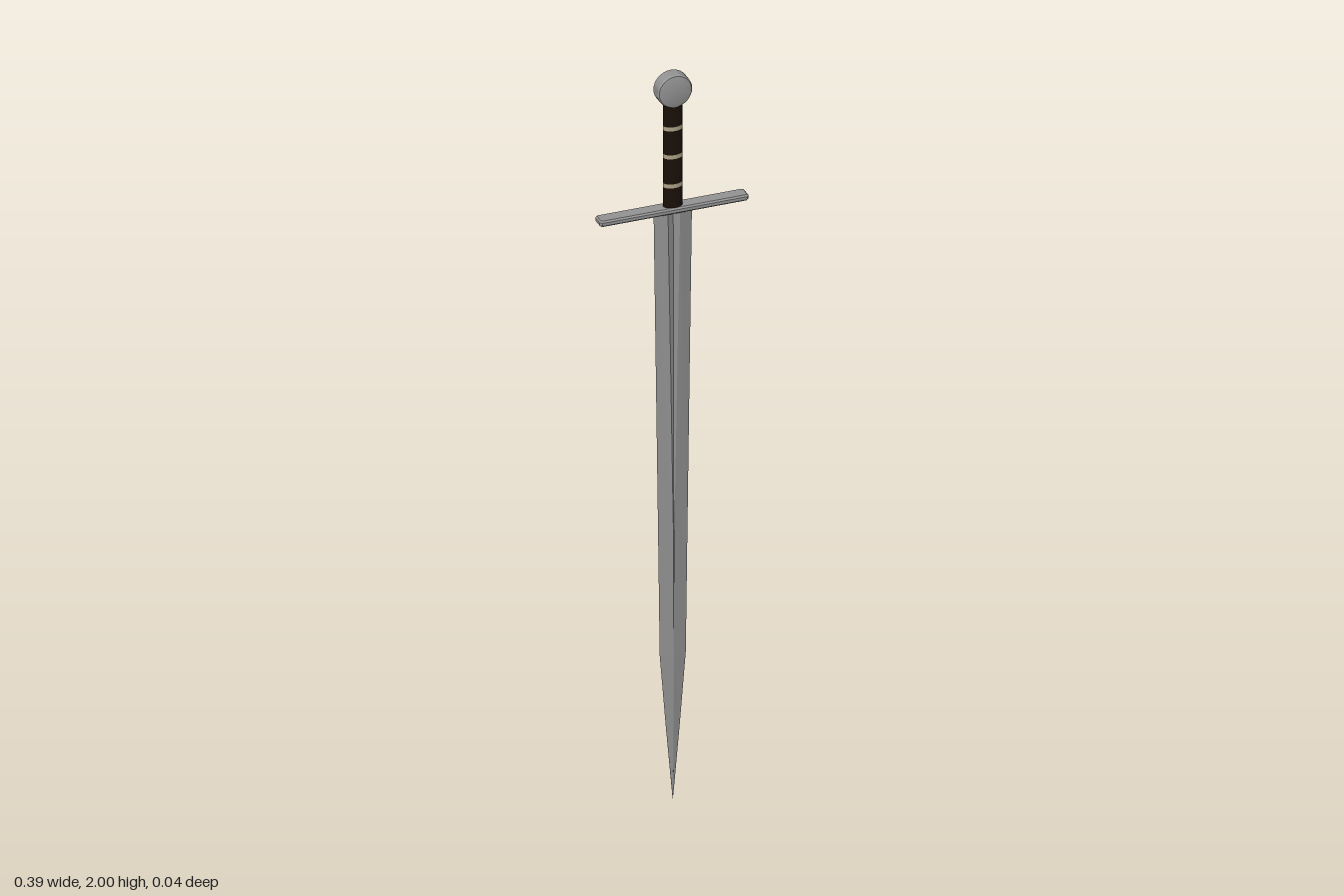
import * as THREE from 'three';
import { toCreasedNormals } from 'three/addons/utils/BufferGeometryUtils.js';

const steel = new THREE.MeshStandardMaterial({ color: 0x949494 });
const leather = new THREE.MeshStandardMaterial({ color: 0x1a1008 });
const wire = new THREE.MeshStandardMaterial({ color: 0xb0a488 });

// Blade lofted from eight-point sections: edge, fuller lips and fuller floor
function bladeGeometry() {
  // y, half width, fuller half width, half thickness, fuller floor
  const sections = [
    [0, 0.0005, 0.0002, 0.0005, 0.0005],
    [0.2, 0.018, 0.001, 0.004, 0.004],
    [0.4, 0.034, 0.001, 0.007, 0.007],
    [0.72, 0.038, 0.001, 0.0075, 0.007],
    [1.63, 0.05, 0.016, 0.009, 0.003],
  ];
  const rings = sections.map(([y, w, f, t, c]) =>
    [[w, 0], [f, t], [0, c], [-f, t], [-w, 0], [-f, -t], [0, -c], [f, -t]].map(([x, z]) => [x, y, z]));
  const pos = [];
  for (let j = 0; j < rings.length - 1; j++) {
    for (let i = 0; i < 8; i++) {
      const k = (i + 1) % 8;
      const a = rings[j][i], b = rings[j][k], c = rings[j + 1][k], d = rings[j + 1][i];
      pos.push(...a, ...d, ...c, ...a, ...c, ...b);
    }
  }
  const geo = new THREE.BufferGeometry();
  geo.setAttribute('position', new THREE.Float32BufferAttribute(pos, 3));
  geo.computeVertexNormals();
  return geo;
}

// Straight bar with chamfered edges and clipped corners
function guardGeometry() {
  const x = 0.19, z = 0.016, cut = 0.003, bevel = 0.004;
  const corners = [[-x + cut, -z], [x - cut, -z], [x, -z + cut], [x, z - cut],
    [x - cut, z], [-x + cut, z], [-x, z - cut], [-x, -z + cut]];
  const shape = new THREE.Shape(corners.map((p) => new THREE.Vector2(...p)));
  const geo = new THREE.ExtrudeGeometry(shape, {
    depth: 0.008, bevelThickness: bevel, bevelSize: bevel, bevelSegments: 1,
  });
  return geo.translate(0, 0, -0.004).rotateX(-Math.PI / 2);
}

// Disc pommel with softened rims, axis along z
function pommelGeometry() {
  const profile = [[0, -0.021], [0.033, -0.021], [0.042, -0.0185], [0.045, -0.014],
    [0.045, 0.014], [0.042, 0.0185], [0.033, 0.021], [0, 0.021]];
  const geo = new THREE.LatheGeometry(profile.map((p) => new THREE.Vector2(...p)), 32);
  return toCreasedNormals(geo.rotateX(Math.PI / 2), 0.45);
}

export function createModel() {
  const sword = new THREE.Group();
  sword.name = 'sword';
  const add = (name, geo, mat, x, y) => {
    const mesh = new THREE.Mesh(geo, mat);
    mesh.name = name;
    mesh.position.set(x, y, 0);
    sword.add(mesh);
  };

  // The blade, grip and pommel share an axis just off the guard's middle
  const axis = 0.002;
  add('blade', bladeGeometry(), steel, axis, 0);
  add('crossguard', guardGeometry(), steel, 0, 1.627);
  add('pommel', pommelGeometry(), steel, axis, 1.955);

  // Oval grip bound by three wire bands
  const oval = (r, h) => new THREE.CylinderGeometry(r, r, h, 24).scale(1, 1, 0.66);
  add('grip', oval(0.0245, 0.29), leather, axis, 1.775);
  for (const y of [1.695, 1.775, 1.852]) add('gripBand', oval(0.025, 0.011), wire, axis, y);

  return sword;
}
